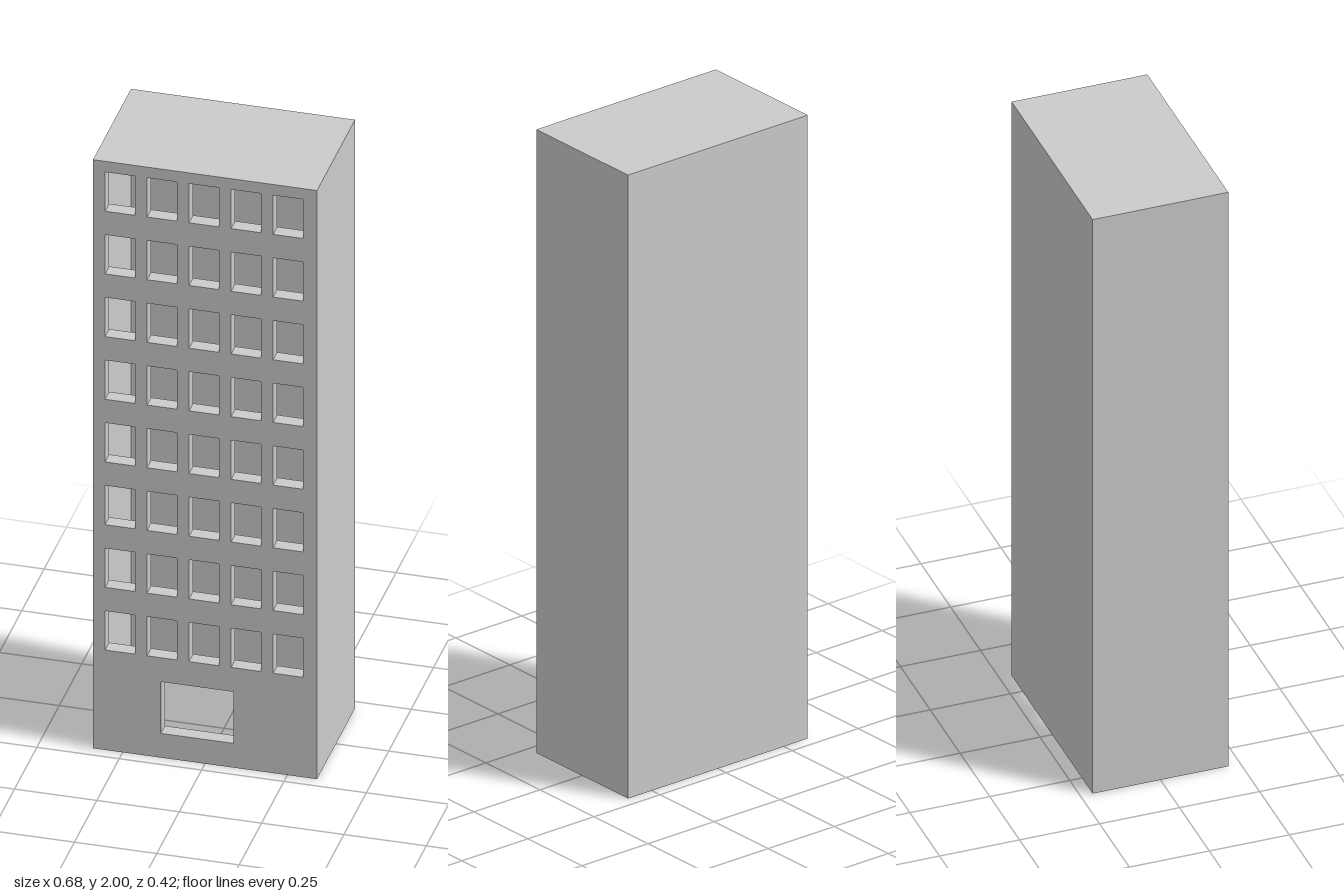
import * as THREE from 'three';
import { mergeGeometries } from 'three/addons/utils/BufferGeometryUtils.js';

const W = 0.68, H = 2, D = 0.424, REVEAL = 0.045;
const material = new THREE.MeshStandardMaterial({ color: 0xcccccc, side: THREE.DoubleSide });

function add(parent, name, geometry) {
  const mesh = new THREE.Mesh(geometry, material);
  mesh.name = name;
  parent.add(mesh);
  return mesh;
}

// Open rectangular sleeve running inward from the front wall
function sleeve(o) {
  const z = D / 2 - REVEAL / 2;
  const jamb = (s) => new THREE.PlaneGeometry(REVEAL, o.h)
    .rotateY(-s * Math.PI / 2).translate(o.x + s * o.w / 2, o.y, z);
  const ledge = (s) => new THREE.PlaneGeometry(o.w, REVEAL)
    .rotateX(s * Math.PI / 2).translate(o.x, o.y + s * o.h / 2, z);
  return mergeGeometries([jamb(-1), jamb(1), ledge(-1), ledge(1)]);
}

export function createModel() {
  const group = new THREE.Group();
  group.name = 'towerBlock';

  // Openings: a grid of windows and one entrance
  const windows = [];
  for (let row = 0; row < 8; row++) {
    for (let col = 0; col < 5; col++) {
      windows.push({ x: -0.258 + col * 0.1275, y: 0.406 + row * 0.213, w: 0.09, h: 0.133 });
    }
  }
  const entrance = { x: -0.024, y: 0.17, w: 0.22, h: 0.175 };

  // Front wall pierced by the openings
  const wall = new THREE.Shape([
    new THREE.Vector2(-W / 2, 0), new THREE.Vector2(W / 2, 0),
    new THREE.Vector2(W / 2, H), new THREE.Vector2(-W / 2, H),
  ]);
  for (const { x, y, w, h } of [...windows, entrance]) {
    wall.holes.push(new THREE.Path([
      new THREE.Vector2(x - w / 2, y - h / 2), new THREE.Vector2(x - w / 2, y + h / 2),
      new THREE.Vector2(x + w / 2, y + h / 2), new THREE.Vector2(x + w / 2, y - h / 2),
    ]));
  }
  add(group, 'frontWall', new THREE.ShapeGeometry(wall).translate(0, 0, D / 2));

  // Thin shell, open underneath
  add(group, 'backWall', new THREE.PlaneGeometry(W, H).rotateY(Math.PI).translate(0, H / 2, -D / 2));
  for (const [name, s] of [['leftWall', 1], ['rightWall', -1]]) {
    add(group, name, new THREE.PlaneGeometry(D, H).rotateY(s * Math.PI / 2).translate(s * W / 2, H / 2, 0));
  }
  add(group, 'roof', new THREE.PlaneGeometry(W, D).rotateX(-Math.PI / 2).translate(0, H, 0));

  // Reveals around the openings
  add(group, 'windowReveals', mergeGeometries(windows.map(sleeve)));
  add(group, 'entranceReveal', sleeve(entrance));

  return group;
}
